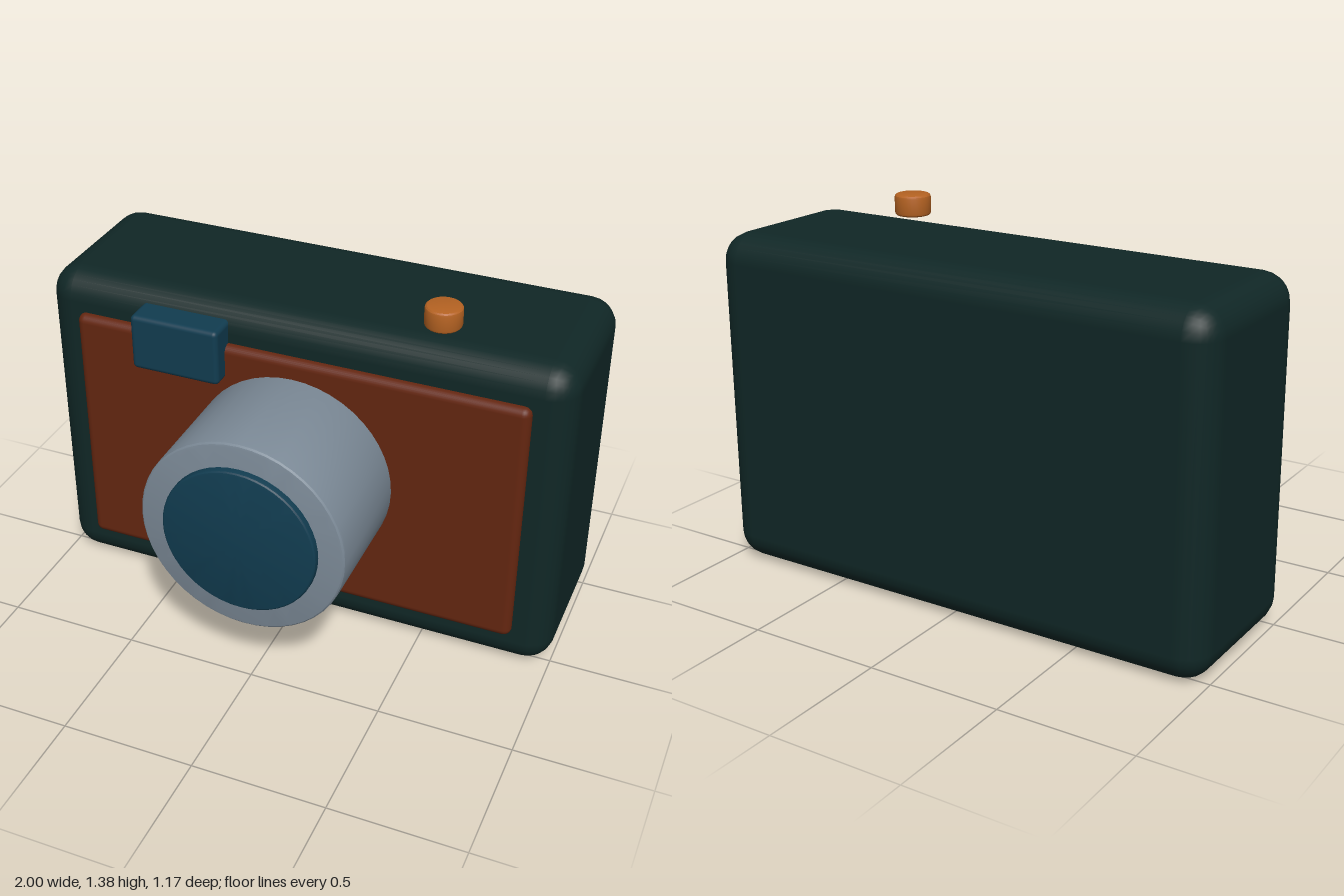
import * as THREE from 'three';
import { RoundedBoxGeometry } from 'three/addons/geometries/RoundedBoxGeometry.js';
import { toCreasedNormals } from 'three/addons/utils/BufferGeometryUtils.js';

function material(name, color) {
  const m = new THREE.MeshStandardMaterial({ color });
  m.name = name;
  return m;
}

// Rounded box given by its lower and upper corners
function box(name, mat, min, max, radius, segments) {
  const size = max.map((v, i) => v - min[i]);
  const mesh = new THREE.Mesh(new RoundedBoxGeometry(...size, segments, radius), mat);
  mesh.position.set(...max.map((v, i) => (v + min[i]) / 2));
  mesh.name = name;
  return mesh;
}

// Upright disc or barrel standing on y = 0, with softened rims
function barrel(name, mat, radius, height, bevel, sides) {
  const profile = [new THREE.Vector2(0, 0)];
  const arc = (cy, from) => {
    for (let i = 0; i <= 3; i++) {
      const a = from + (i / 3) * Math.PI / 2;
      profile.push(new THREE.Vector2(radius - bevel + bevel * Math.cos(a), cy + bevel * Math.sin(a)));
    }
  };
  arc(bevel, -Math.PI / 2);
  arc(height - bevel, 0);
  profile.push(new THREE.Vector2(0, height));
  const mesh = new THREE.Mesh(toCreasedNormals(new THREE.LatheGeometry(profile, sides), 0.45), mat);
  mesh.name = name;
  return mesh;
}

export function createModel() {
  const model = new THREE.Group();
  model.name = 'camera';

  const darkGreen = material('dark green', 0x102726);
  const leather = material('brown leather', 0x642610);
  const metal = material('grey metal', 0x7b8996);
  const glass = material('blue glass', 0x113c50);
  const copper = material('copper', 0xb46222);

  // Body, front panel and viewfinder
  model.add(
    box('body', darkGreen, [-1, 0, -0.585], [1, 1.27, 0.075], 0.105, 3),
    box('frontPanel', leather, [-0.86, 0.145, 0.02], [0.86, 1.13, 0.107], 0.03, 3),
    box('viewfinder', glass, [-0.6, 1.0, 0.0], [-0.258, 1.215, 0.17], 0.018, 3)
  );

  // Lens, pointing forward
  const lens = new THREE.Group();
  lens.name = 'lens';
  lens.position.set(0, 0.672, 0.05);
  lens.rotation.x = Math.PI / 2;
  const lensBarrel = barrel('lensBarrel', metal, 0.384, 0.507, 0.015, 48);
  const lensGlass = barrel('lensGlass', glass, 0.288, 0.06, 0.012, 48);
  lensGlass.position.y = 0.475;
  lens.add(lensBarrel, lensGlass);
  model.add(lens);

  // Shutter button, hovering above the body
  const button = barrel('shutterButton', copper, 0.067, 0.08, 0.013, 32);
  button.position.set(0.495, 1.3, -0.049);
  model.add(button);

  return model;
}
